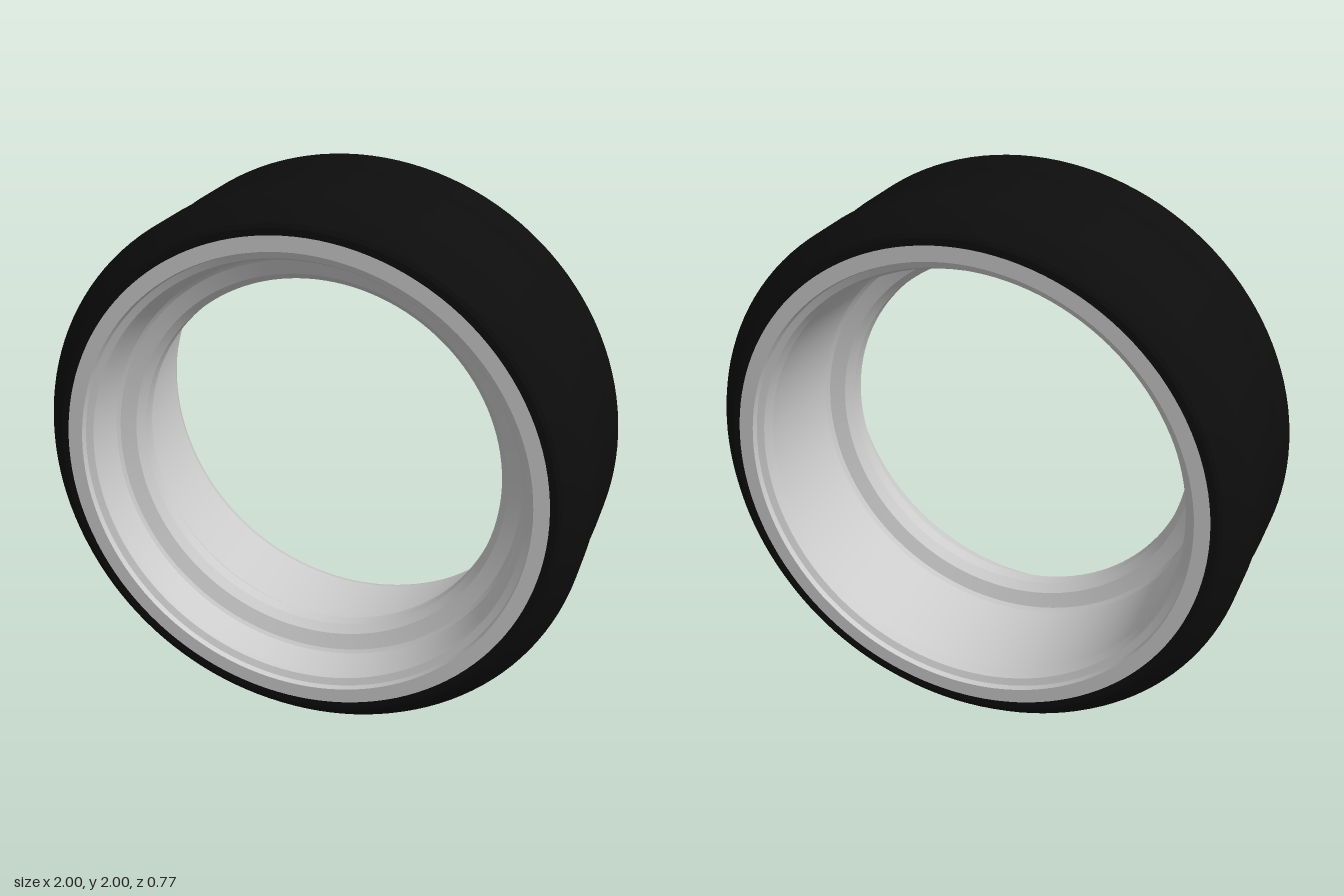
import * as THREE from 'three';
import { toCreasedNormals } from 'three/addons/utils/BufferGeometryUtils.js';

const SEGMENTS = 128;
const HALF_WIDTH = 0.385;

// Spins a [radius, z] profile around the wheel axle (z)
function ring(name, profile, material) {
  const points = profile.map(([r, z]) => new THREE.Vector2(r, z));
  const lathe = new THREE.LatheGeometry(points, SEGMENTS).rotateX(Math.PI / 2);
  const mesh = new THREE.Mesh(toCreasedNormals(lathe, 0.3), material);
  mesh.name = name;
  return mesh;
}

export function createModel() {
  const rubber = new THREE.MeshStandardMaterial({ color: 0x0d0d0d });
  rubber.name = 'black rubber';
  const metal = new THREE.MeshStandardMaterial({ color: 0xcccccc });
  metal.name = 'light grey metal';

  // Tyre: front half from sidewall bead to centre groove, mirrored to the back
  const half = [
    [0.885, HALF_WIDTH], [0.91, HALF_WIDTH], [0.925, 0.378], [0.96, 0.342],
    [0.99, 0.305], [1, 0.288], [1, 0.12], [0.986, 0.1],
  ];
  const back = half.map(([r, z]) => [r, -z]);
  const tyre = ring('tyre', [...back, ...half.slice().reverse()], rubber);

  // Rim: stepped front lip, narrow well, then a wide barrel to the back lip
  const rim = ring('rim', [
    [0.885, 0.385], [0.83, 0.385],               // front flange
    [0.825, 0.365], [0.8, 0.355], [0.79, 0.335], // bead steps
    [0.768, 0.235], [0.757, 0.225],              // front seat
    [0.702, 0.205], [0.677, 0.175],              // well shoulder
    [0.677, 0.125], [0.702, 0.09], [0.757, 0.07],
    [0.768, 0.055], [0.785, -0.32],              // barrel
    [0.8, -0.355], [0.825, -0.365],
    [0.83, -0.385], [0.885, -0.385],             // back flange
  ], metal);
  // The profile runs front to back, so its faces point in to the axle

  const wheel = new THREE.Group();
  wheel.name = 'wheel';
  wheel.add(tyre, rim);
  wheel.position.y = 1;

  const model = new THREE.Group();
  model.add(wheel);
  return model;
}
